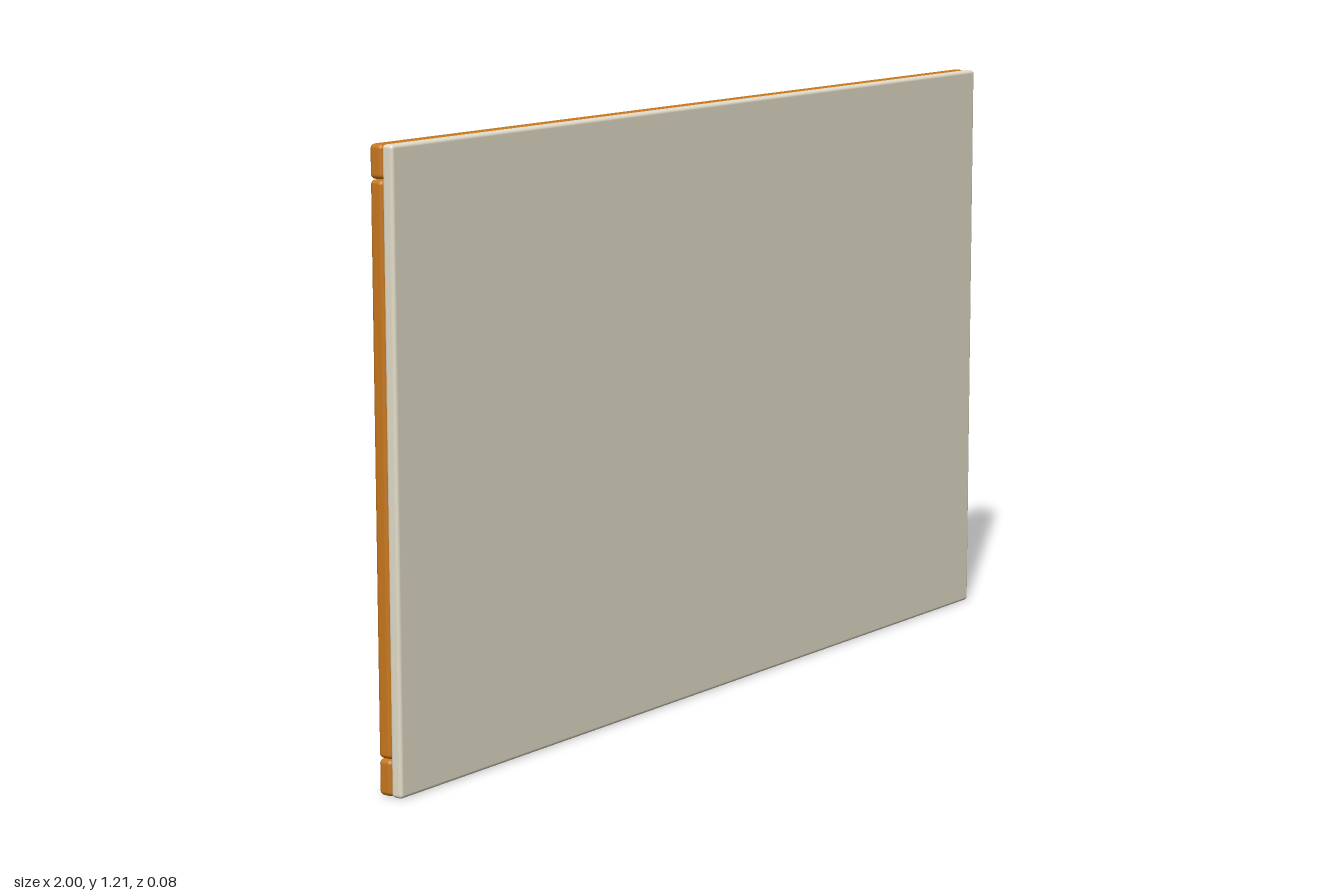
import * as THREE from 'three';
import { RoundedBoxGeometry } from 'three/addons/geometries/RoundedBoxGeometry.js';

const MID = 0.605; // height of the panel's centre line

const material = (color) => new THREE.MeshStandardMaterial({ color });
const ivory = material(0xe4ddca);
const orange = material(0xc8781e);
const purple = material(0xa08ccd);
const green = material(0x60b496);
const tan = material(0xd6ae72);
const red = material(0xc85a62);

export function createModel() {
  const model = new THREE.Group();

  const add = (name, geometry, mat, x, y, z) => {
    const mesh = new THREE.Mesh(geometry, mat);
    mesh.name = name;
    mesh.position.set(x, y, z);
    model.add(mesh);
    return mesh;
  };
  // Rounded slab given its centre, size and z range
  const slab = (name, mat, x, y, w, h, zBack, zFront, r) =>
    add(name, new RoundedBoxGeometry(w, h, zFront - zBack, 3, r), mat, x, y, (zBack + zFront) / 2);

  // Plain front plate
  slab('frontPlate', ivory, 0, MID, 2, 1.21, 0.014, 0.039, 0.007);

  // Frame around the back
  slab('topRail', orange, 0, 1.178, 2, 0.064, -0.016, 0.015, 0.009);
  slab('bottomRail', orange, 0, 0.035, 2, 0.07, -0.016, 0.015, 0.009);
  for (const s of [-1, 1]) {
    slab('sideRail', orange, s * 0.965, 0.608, 0.07, 1.074, -0.016, 0.015, 0.009);
  }

  // Horizontal strips, mirrored above and below the centre
  slab('centreStrip', purple, 0, MID, 1.88, 0.155, -0.012, 0.016, 0.009);
  for (const s of [-1, 1]) {
    slab('innerStrip', tan, 0, MID + s * 0.206, 1.88, 0.085, -0.012, 0.016, 0.009);
    slab('middleStrip', green, 0, MID + s * 0.352, 1.88, 0.085, -0.012, 0.016, 0.009);
    slab('outerStrip', purple, 0, MID + s * 0.468, 1.88, 0.08, -0.012, 0.016, 0.009);

    // Rows of small raised tabs
    for (let i = -10; i <= 10; i++) {
      const x = i * 0.086;
      slab('outerTab', ivory, x, MID + s * 0.468, 0.034, 0.062, -0.0175, -0.005, 0.004);
      if (Math.abs(x) > 0.48) {
        slab('innerTab', ivory, x, MID + s * 0.206, 0.034, 0.062, -0.0175, -0.005, 0.004);
      }
    }
  }

  // Raised centre panel: base, sloping border, inset face
  slab('panelBase', orange, 0, MID + 0.003, 0.93, 0.634, -0.026, 0.01, 0.008);

  const hw = 0.388, hh = 0.25;
  const rect = new THREE.Shape([
    new THREE.Vector2(-hw, -hh), new THREE.Vector2(hw, -hh),
    new THREE.Vector2(hw, hh), new THREE.Vector2(-hw, hh),
  ]);
  const border = new THREE.ExtrudeGeometry(rect, {
    depth: 0.012, bevelThickness: 0.004, bevelSize: 0.06, bevelSegments: 1,
  });
  add('panelBorder', border, red, 0, MID + 0.003, -0.022).rotation.y = Math.PI;
  add('panelFace', new THREE.BoxGeometry(0.772, 0.496, 0.006), purple, 0, MID + 0.003, -0.036);

  // Small rounded studs near the lower corner
  const stud = (x, y, rx, ry, tilt) => {
    const mesh = add('stud', new THREE.SphereGeometry(1, 24, 16), orange, x, y, -0.008);
    mesh.scale.set(rx, ry, 0.012);
    mesh.rotation.z = tilt;
  };
  stud(0.76, 0.19, 0.06, 0.034, 0.15);
  stud(0.83, 0.143, 0.021, 0.019, 0);
  stud(0.737, 0.102, 0.019, 0.021, 0);

  return model;
}
